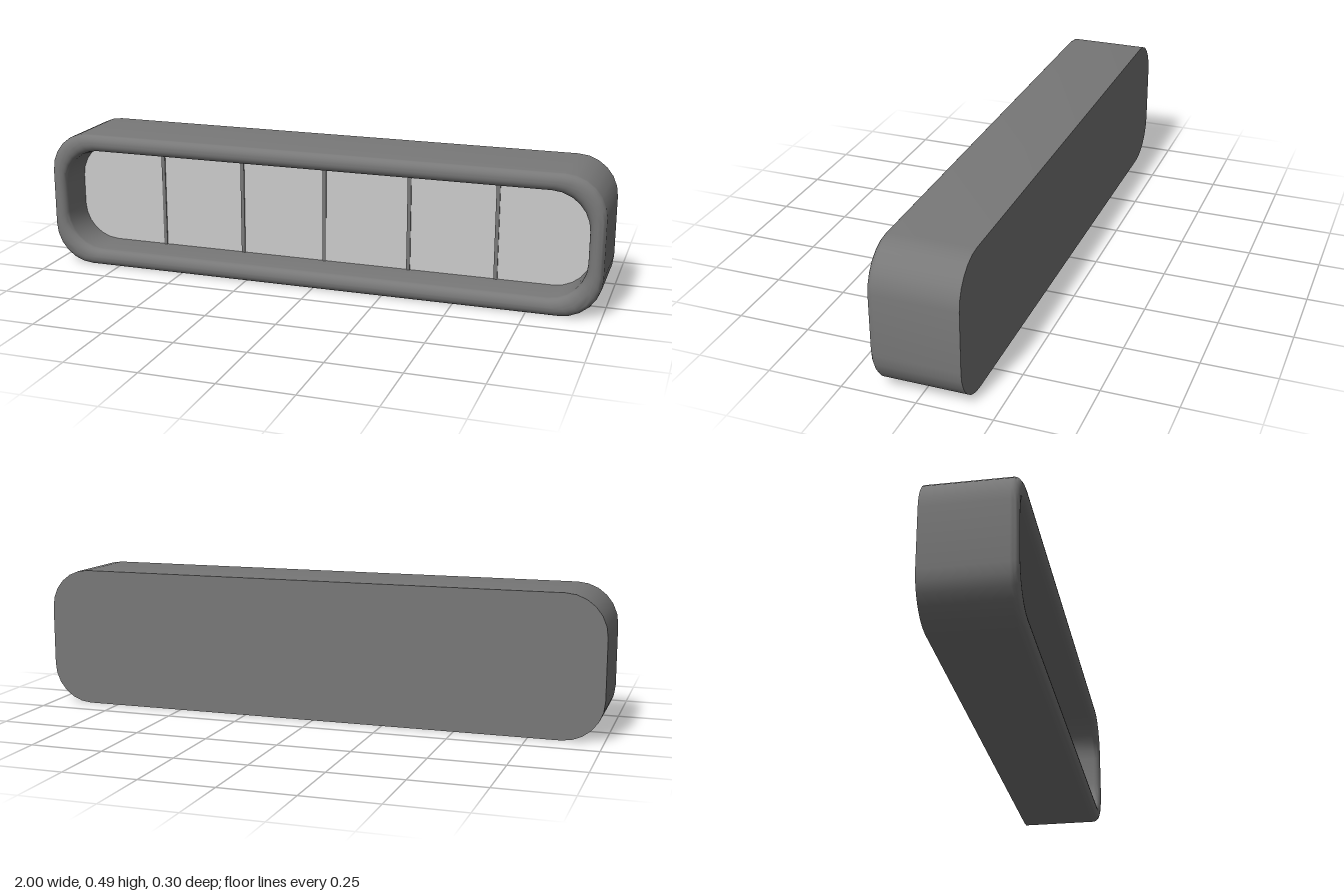
import * as THREE from 'three';
import { toCreasedNormals } from 'three/addons/utils/BufferGeometryUtils.js';

const HALF_W = 1, HALF_H = 0.244, MID_Y = 0.244, CORNER = 0.14;
const BACK = -0.15, FRONT = 0.15, FLOOR = 0, FILLET = 0.025;
const RIM_X = 0.052, RIM_Y = 0.06;

// Rounded rectangle outline; t = 0 is the outer wall, t = 1 the opening
function outline(t, steps = 6) {
  const w = HALF_W - RIM_X * t, h = HALF_H - RIM_Y * t, r = CORNER - 0.01 * t;
  const points = [];
  [[1, 1], [-1, 1], [-1, -1], [1, -1]].forEach(([sx, sy], corner) => {
    for (let i = 0; i <= steps; i++) {
      const a = (corner + i / steps) * Math.PI / 2;
      points.push(new THREE.Vector2(
        sx * (w - r) + r * Math.cos(a), MID_Y + sy * (h - r) + r * Math.sin(a)));
    }
  });
  return points;
}

// Skins the outline along a profile of [t, z] pairs
function loft(profile) {
  const positions = [], index = [];
  let n = 0;
  profile.forEach(([t, z]) => {
    const ring = outline(t);
    n = ring.length;
    ring.forEach(p => positions.push(p.x, p.y, z));
  });
  for (let j = 0; j < profile.length - 1; j++) {
    for (let i = 0; i < n; i++) {
      const a = j * n + i, b = j * n + (i + 1) % n;
      index.push(a, b, b + n, a, b + n, a + n);
    }
  }
  const geometry = new THREE.BufferGeometry();
  geometry.setAttribute('position', new THREE.Float32BufferAttribute(positions, 3));
  geometry.setIndex(index);
  return toCreasedNormals(geometry, 0.7);
}

export function createModel() {
  const group = new THREE.Group();
  const housingMaterial = new THREE.MeshStandardMaterial({ color: 0x787878 });
  const panelMaterial = new THREE.MeshStandardMaterial({ color: 0xcccccc });
  const add = (name, geometry, material) => {
    const mesh = new THREE.Mesh(geometry, material);
    mesh.name = name;
    group.add(mesh);
    return mesh;
  };

  // Housing: outer wall, rounded lip and inner wall of the recess
  const profile = [[0, BACK]];
  const steps = 5, f = FILLET / RIM_X;
  for (let i = 0; i <= steps; i++) {
    const a = i / steps * Math.PI / 2;
    profile.push([f * (1 - Math.cos(a)), FRONT - FILLET * (1 - Math.sin(a))]);
  }
  for (let i = 0; i <= steps; i++) {
    const a = i / steps * Math.PI / 2;
    profile.push([1 - f * (1 - Math.sin(a)), FRONT - FILLET * (1 - Math.cos(a))]);
  }
  profile.push([1, FLOOR]);
  add('housing', loft(profile), housingMaterial);

  // Flat back, turned to face rearwards
  const back = add('backPlate', new THREE.ShapeGeometry(new THREE.Shape(outline(0))), housingMaterial);
  back.rotation.y = Math.PI;
  back.position.z = BACK;

  // Light panel at the bottom of the recess
  const panel = add('panel', new THREE.ShapeGeometry(new THREE.Shape(outline(1))), panelMaterial);
  panel.position.z = FLOOR;

  // Thin bars that split the panel into six
  const bar = new THREE.BoxGeometry(0.013, 2 * (HALF_H - RIM_Y), 0.01);
  for (let i = -2; i <= 2; i++) {
    add('divider', bar, housingMaterial).position.set(i * 0.31, MID_Y, FLOOR);
  }
  return group;
}
